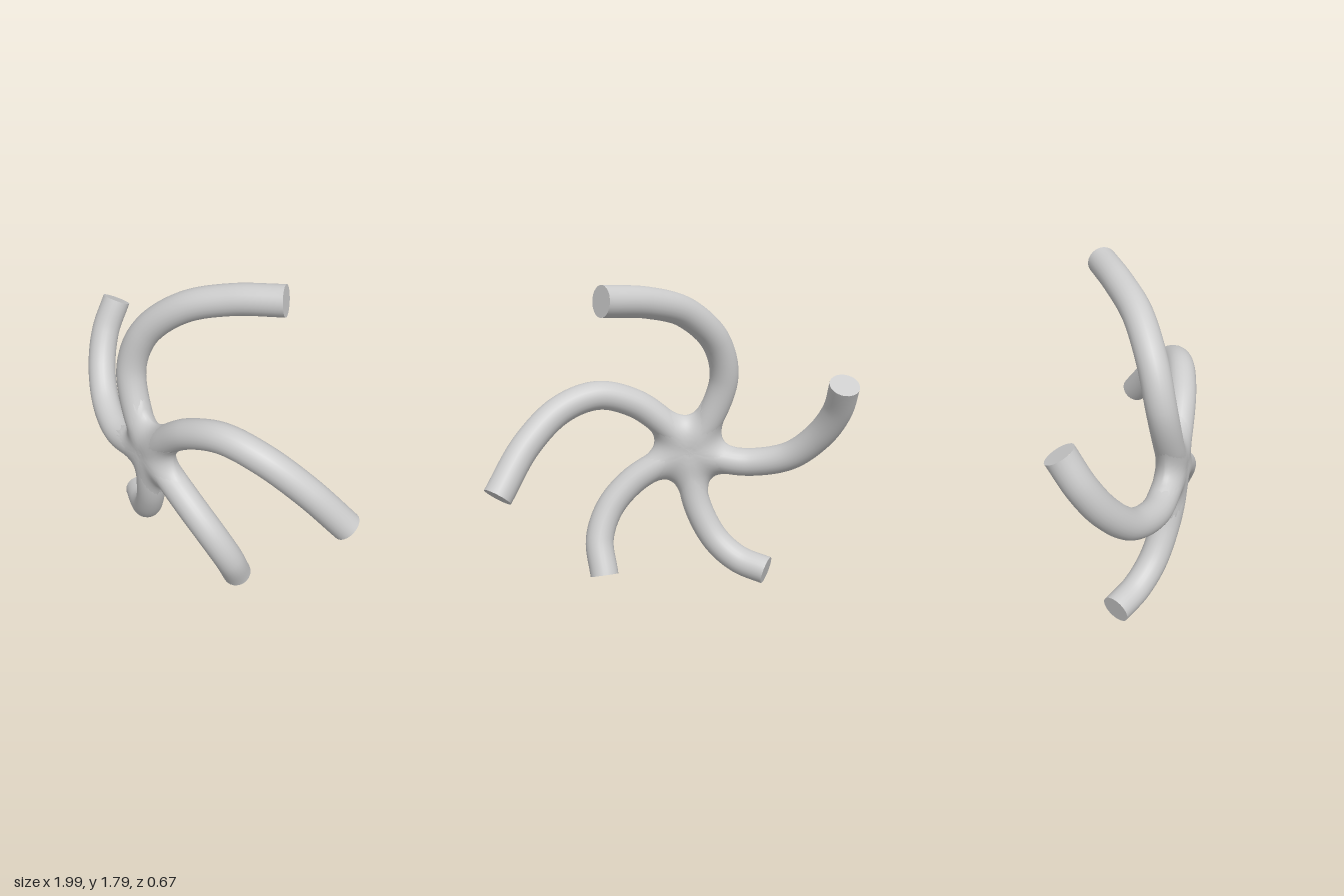
import * as THREE from 'three';
import { mergeVertices } from 'three/addons/utils/BufferGeometryUtils.js';

const RADIUS = 0.081;
const HUB = new THREE.Vector3(-0.11, 0.77, 0.242);

// Centre lines of the arms, in order around the hub (each starts at the hub)
const ARMS = {
  upperArm: [[-0.225, 0.95, 0.24], [-0.303, 1.2, 0.215], [-0.25, 1.42, 0.155], [-0.08, 1.6, 0.035], [0.12, 1.68, -0.115], [0.345, 1.715, -0.275]],
  leftSideArm: [[0.05, 0.94, 0.235], [0.2, 1.05, 0.215], [0.4, 1.113, 0.16], [0.6, 1.06, 0.07], [0.78, 0.9, -0.07], [0.922, 0.667, -0.24]],
  lowerLeftArm: [[0.05, 0.685, 0.24], [0.22, 0.575, 0.225], [0.35, 0.43, 0.18], [0.41, 0.26, 0.11], [0.382, 0.07, 0.02]],
  lowerRightArm: [[-0.125, 0.58, 0.24], [-0.17, 0.4, 0.215], [-0.27, 0.225, 0.17], [-0.4, 0.125, 0.11], [-0.556, 0.087, 0.038]],
  rightSideArm: [[-0.3, 0.705, 0.24], [-0.47, 0.69, 0.225], [-0.68, 0.75, 0.16], [-0.83, 0.9, 0.075], [-0.905, 1.07, -0.015], [-0.917, 1.24, -0.112]],
};

const material = new THREE.MeshStandardMaterial({ color: 0xcccccc });

function makeArm(name, curve) {
  const arm = new THREE.Group();
  arm.name = name;
  const tube = new THREE.Mesh(new THREE.TubeGeometry(curve, 60, RADIUS, 24), material);
  tube.name = name + 'Tube';
  // flat cap closing the free end
  const cap = new THREE.Mesh(new THREE.CircleGeometry(RADIUS, 24), material);
  cap.name = name + 'EndCap';
  cap.position.copy(curve.getPoint(1));
  cap.quaternion.setFromUnitVectors(new THREE.Vector3(0, 0, 1), curve.getTangent(1));
  arm.add(tube, cap);
  return arm;
}

// Hub: a sphere pushed outward until it meets the filleted union of the arm roots
function makeHub(curves) {
  const roots = curves.map((c) => c.getSpacedPoints(60).filter((p) => p.distanceTo(HUB) < 0.42));
  const line = new THREE.Line3();
  const near = new THREE.Vector3();
  const armDistance = (points, p) => {
    let best = Infinity;
    for (let i = 1; i < points.length; i++) {
      line.set(points[i - 1], points[i]).closestPointToPoint(p, true, near);
      best = Math.min(best, near.distanceToSquared(p));
    }
    return Math.sqrt(best) - RADIUS * 0.99;
  };
  // neighbouring arms blend with a fillet that fades out towards front and back
  const distance = (p, blend) => {
    const d = roots.map((r) => armDistance(r, p));
    return Math.min(...d.map((a, i) => {
      const b = d[(i + 1) % d.length];
      const h = Math.max(blend - Math.abs(a - b), 0);
      return Math.min(a, b) - (h * h) / (4 * blend);
    }));
  };

  let geometry = new THREE.SphereGeometry(1, 120, 48).rotateX(Math.PI / 2);
  geometry.deleteAttribute('uv');
  geometry.deleteAttribute('normal');
  geometry = mergeVertices(geometry);
  const pos = geometry.attributes.position;
  const dir = new THREE.Vector3();
  const p = new THREE.Vector3();
  for (let i = 0; i < pos.count; i++) {
    dir.fromBufferAttribute(pos, i).normalize();
    const blend = 0.18 * (1 - Math.abs(dir.z)) + 0.001;
    let reach = 0.05;
    for (let step = 0; step < 40 && reach < 0.32; step++) {
      const d = distance(p.copy(HUB).addScaledVector(dir, reach), blend);
      if (d > -0.0005) break;
      reach -= d * 0.8;
    }
    p.copy(HUB).addScaledVector(dir, Math.min(reach, 0.32));
    pos.setXYZ(i, p.x, p.y, p.z);
  }
  geometry.computeVertexNormals();
  const hub = new THREE.Mesh(geometry, material);
  hub.name = 'hub';
  return hub;
}

export function createModel() {
  const model = new THREE.Group();
  model.name = 'fiveArmedSwirl';
  const curves = Object.values(ARMS).map((points) =>
    new THREE.CatmullRomCurve3([HUB, ...points.map((q) => new THREE.Vector3(...q))]));
  Object.keys(ARMS).forEach((name, i) => model.add(makeArm(name, curves[i])));
  model.add(makeHub(curves));
  return model;
}
